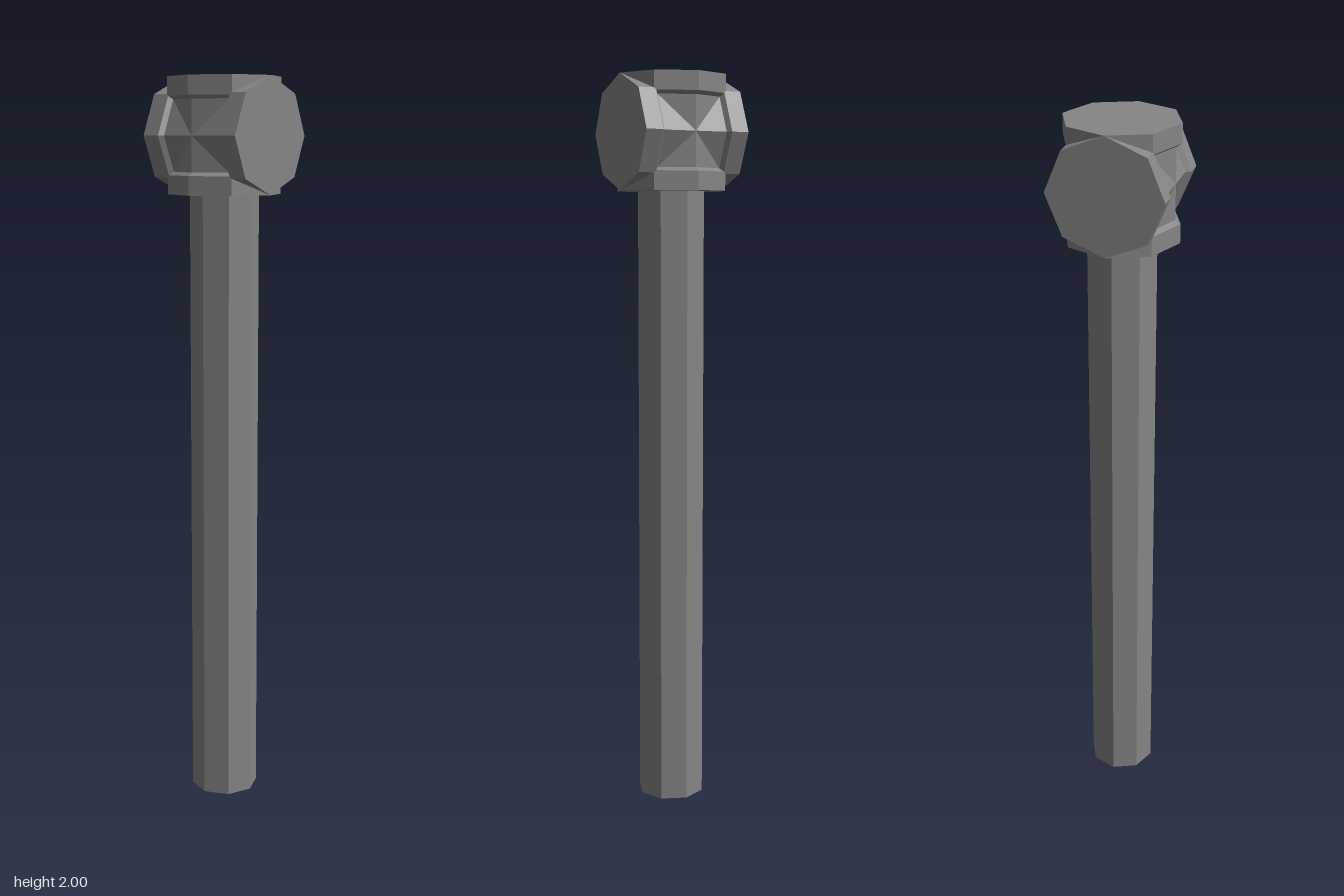
import * as THREE from 'three';

export function createModel() {
  const model = new THREE.Group();
  model.name = 'mallet';
  const steel = new THREE.MeshStandardMaterial({ color: 0x858585, flatShading: true });
  steel.name = 'grey steel';

  const R = 0.152; // rim radius and half length of the head
  const headY = 2 - R;

  // Octagonal handle, running up to the underside of the head
  const length = 2 - 2 * R;
  const handle = new THREE.Mesh(new THREE.CylinderGeometry(0.093, 0.093, length, 8), steel);
  handle.name = 'handle';
  handle.position.y = length / 2;
  model.add(handle);

  // Octagonal drum: waisted core flaring through a chamfer into a thick disc at each end
  const profile = [
    [0, -R], [R, -R], [R, -0.102], [0.138, -0.093],
    [0.138, 0.093], [R, 0.102], [R, R], [0, R],
  ].map(([r, y]) => new THREE.Vector2(r, y));
  const drumGeometry = new THREE.LatheGeometry(profile, 8);

  // Two crossed drums form the head
  const head = new THREE.Group();
  head.name = 'head';
  head.position.y = headY;
  for (const [name, angle] of [['uprightDrum', 0], ['strikingDrum', Math.PI / 2]]) {
    const drum = new THREE.Mesh(drumGeometry, steel);
    drum.name = name;
    drum.rotation.z = angle;
    head.add(drum);
  }
  model.add(head);

  return model;
}
